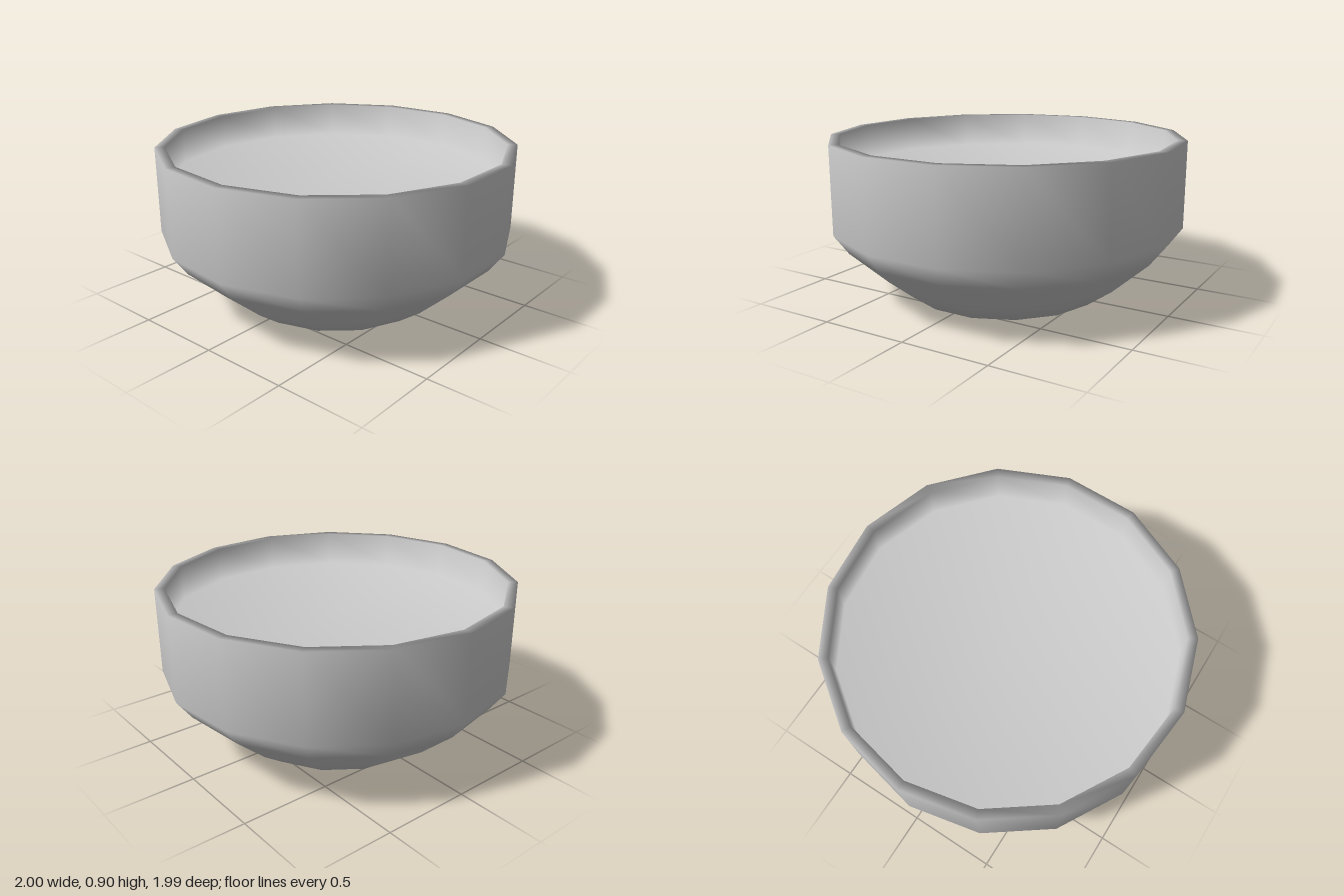
import * as THREE from 'three';

export function createModel() {
  const group = new THREE.Group();
  group.name = 'bowl';

  const grey = new THREE.MeshStandardMaterial({ color: 0xcccccc });
  grey.name = 'plain grey';

  // Closed profile: base, flared side, upright wall, rim, inner wall, raised floor
  const profile = [
    [0, 0], [0.563, 0], [0.714, 0.11], [0.925, 0.3], [1.0055, 0.41],
    [1.0055, 0.9], [0.951, 0.9], [0.951, 0.7], [0, 0.7],
  ].map(([r, y]) => new THREE.Vector2(r, y));

  // Fifteen sides with a corner at the back, smooth normals
  const body = new THREE.Mesh(new THREE.LatheGeometry(profile, 15, Math.PI), grey);
  body.name = 'bowlBody';
  body.position.z = 0.011;
  group.add(body);

  return group;
}
